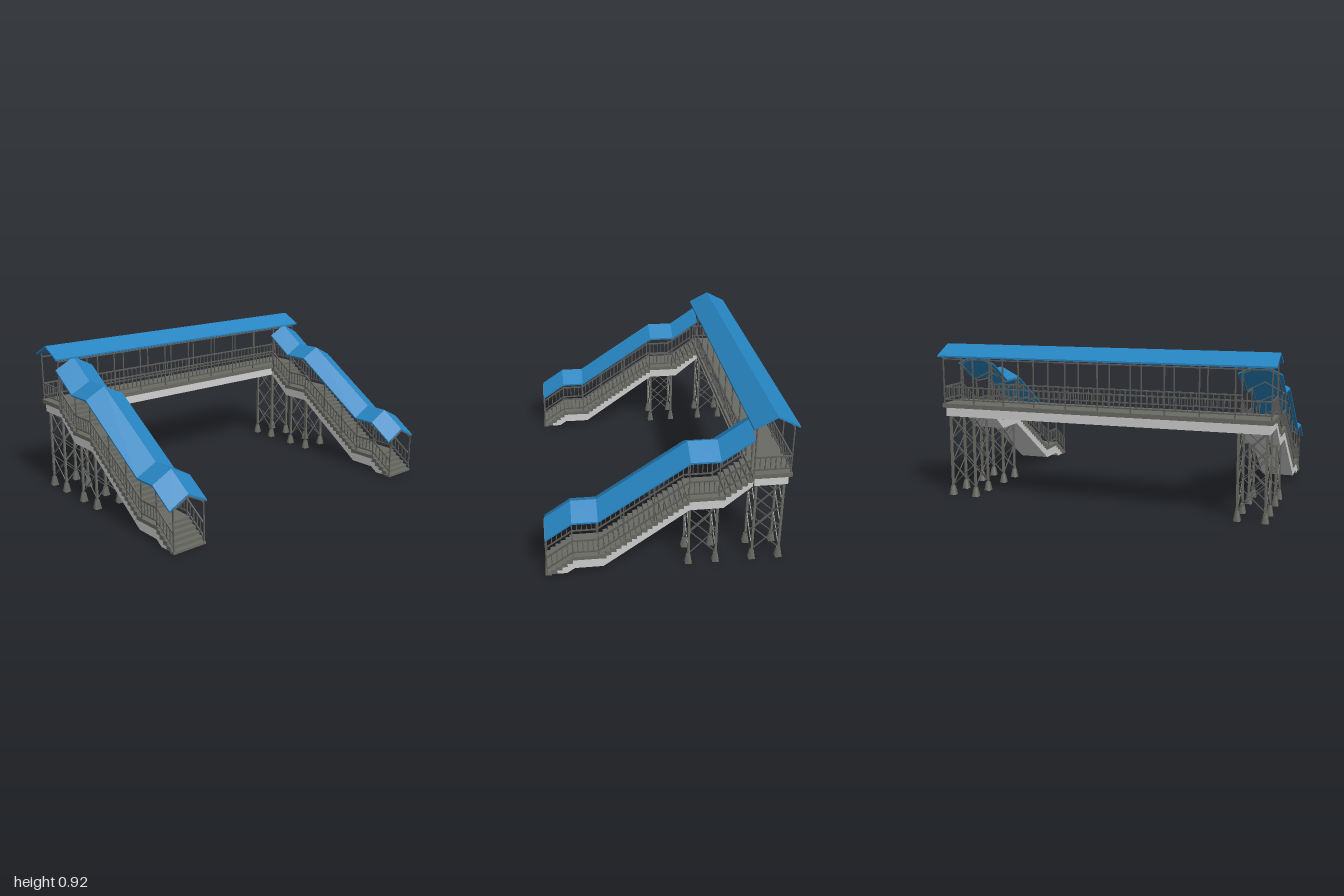
import * as THREE from 'three';
import { mergeGeometries } from 'three/addons/utils/BufferGeometryUtils.js';

const material = (name, color) => {
  const m = new THREE.MeshStandardMaterial({ color });
  m.name = name;
  return m;
};

export function createModel() {
  const blue = material('roof blue', 0x2684c0);
  const dark = material('deck grey', 0x6b6b65);
  const steel = material('railing grey', 0x5e5e5c);
  const light = material('concrete light grey', 0xd0d0d0);
  const model = new THREE.Group();
  model.name = 'footbridge';

  const BX = -0.557, SZ = 0.875;      // bridge centre line, stair centre line
  const HALF = 0.1;                   // railing offset from the centre line

  const add = (parent, name, geometry, mat) => {
    const mesh = new THREE.Mesh(Array.isArray(geometry) ? mergeGeometries(geometry) : geometry, mat);
    mesh.name = name;
    parent.add(mesh);
    return mesh;
  };
  const box = (x0, x1, y0, y1, z0, z1) =>
    new THREE.BoxGeometry(x1 - x0, y1 - y0, z1 - z0).translate((x0 + x1) / 2, (y0 + y1) / 2, (z0 + z1) / 2);

  // square bar between two points
  const bar = (a, b, t) => {
    const p = new THREE.Vector3(...a), q = new THREE.Vector3(...b);
    const o = new THREE.Object3D();
    o.position.copy(p).add(q).multiplyScalar(0.5);
    if (Math.abs(p.x - q.x) + Math.abs(p.z - q.z) < 1e-6) o.rotation.x = Math.PI / 2;
    else o.lookAt(q);
    o.updateMatrix();
    return new THREE.BoxGeometry(t, t, p.distanceTo(q)).applyMatrix4(o.matrix);
  };

  // railing panel between two floor points: two rails and evenly spaced balusters
  const railing = (a, b, spacing) => {
    const up = (p, h) => [p[0], p[1] + h, p[2]];
    const out = [bar(up(a, 0.1), up(b, 0.1), 0.008), bar(up(a, 0.025), up(b, 0.025), 0.007)];
    const n = Math.max(1, Math.round(Math.hypot(b[0] - a[0], b[2] - a[2]) / spacing));
    for (let i = 1; i < n; i++) {
      const p = a.map((v, k) => v + (b[k] - v) * i / n);
      out.push(bar(up(p, 0.025), up(p, 0.1), 0.005));
    }
    return out;
  };

  // gabled roof slab swept along a ridge path of [x, y] points
  const gableRoof = (path) => {
    const h = 0.123, d = 0.063, t = 0.01;
    const ring = [[0, 0], [h, -d], [h, -d - t], [0, -t], [-h, -d - t], [-h, -d]];
    const pos = [];
    const vert = (s, i) => pos.push(path[s][0], path[s][1] + ring[i % 6][1], ring[i % 6][0]);
    const quad = (...c) => [0, 1, 2, 0, 2, 3].forEach(k => vert(...c[k]));
    const last = path.length - 1;
    for (let s = 0; s < last; s++)
      for (let i = 0; i < 6; i++) quad([s, i], [s, i + 1], [s + 1, i + 1], [s + 1, i]);
    quad([last, 0], [last, 1], [last, 2], [last, 3]);
    quad([last, 0], [last, 3], [last, 4], [last, 5]);
    quad([0, 3], [0, 2], [0, 1], [0, 0]);
    quad([0, 5], [0, 4], [0, 3], [0, 0]);
    const g = new THREE.BufferGeometry();
    g.setAttribute('position', new THREE.Float32BufferAttribute(pos, 3));
    g.computeVertexNormals();
    return g;
  };

  // braced four-legged tower with tapered footings
  const tower = (parent, cx, cz, top, panels) => {
    const g = new THREE.Group();
    g.name = 'supportTower';
    const r = 0.077, legs = [], feet = [], braces = [], y0 = 0.06;
    const corners = [[-r, -r], [r, -r], [r, r], [-r, r]];
    corners.forEach(([x, z], i) => {
      legs.push(box(x - 0.0065, x + 0.0065, 0.04, top, z - 0.0065, z + 0.0065));
      feet.push(new THREE.CylinderGeometry(0.0145, 0.027, 0.056, 4).rotateY(Math.PI / 4).translate(x, 0.028, z));
      const [u, w] = corners[(i + 1) % 4];
      for (let k = 0; k < panels; k++) {
        const a = y0 + (top - y0) * k / panels, b = y0 + (top - y0) * (k + 1) / panels;
        braces.push(bar([x, a, z], [u, b, w], 0.005), bar([x, b, z], [u, a, w], 0.005));
      }
    });
    add(g, 'towerLegs', legs, dark);
    add(g, 'towerFootings', feet, dark);
    add(g, 'towerBraces', braces, steel);
    g.position.set(cx, 0, cz);
    parent.add(g);
  };

  // covered walkway
  const bridge = new THREE.Group();
  bridge.name = 'bridgeSpan';
  model.add(bridge);
  add(bridge, 'bridgeDeck', box(-0.666, -0.448, 0.54, 0.565, -0.985, 0.985), dark);
  add(bridge, 'bridgeGirder', box(-0.65, -0.464, 0.487, 0.54, -0.97, 0.97), light);
  const bridgeRoof = add(bridge, 'bridgeRoof', gableRoof([[-1, 0.916], [1, 0.916]]).rotateY(Math.PI / 2), blue);
  bridgeRoof.position.x = BX;
  const frame = [], rails = [], FY = 0.565;
  for (let i = -5; i <= 5; i++) {
    const z = i * 0.195;
    for (const s of [-1, 1]) {
      const x = BX + s * HALF;
      frame.push(bar([x, FY, z], [x, 0.855, z], 0.007), bar([x, 0.853, z], [BX, 0.903, z], 0.007));
      const stairMouth = s > 0 && (i === -5 || i === 4);
      if (i < 5 && !stairMouth) rails.push(...railing([x, FY, z], [x, FY, z + 0.195], 0.0325));
    }
  }
  for (const s of [-1, 1]) {
    frame.push(bar([BX + s * HALF, 0.832, -0.975], [BX + s * HALF, 0.832, 0.975], 0.007));
    rails.push(...railing([BX - HALF, FY, s * 0.975], [BX + HALF, FY, s * 0.975], 0.028));
  }
  frame.push(bar([BX, 0.902, -0.975], [BX, 0.902, 0.975], 0.007));
  add(bridge, 'bridgeFrame', frame, steel);
  add(bridge, 'bridgeRailings', rails, steel);

  // covered staircase, built about its own centre line
  const floor = [[-0.437, 0.552], [-0.272, 0.44], [-0.11, 0.44], [0.383, 0.114], [0.523, 0.114], [0.668, 0.016]];
  const staircase = (cz) => {
    const g = new THREE.Group();
    g.name = 'staircase';
    g.position.z = cz;
    model.add(g);

    // treads and landings
    const W = 0.107, treads = [];
    treads.push(box(-0.28, -0.1, 0.418, 0.44, -W, W), box(0.37, 0.535, 0.09, 0.112, -W, W));
    const flights = [[-0.45, 0.56, -0.275, 0.44, 6], [-0.105, 0.44, 0.375, 0.112, 17], [0.53, 0.112, 0.677, 0.012, 5]];
    for (const [x0, y0, x1, y1, n] of flights) {
      const run = (x1 - x0) / n, rise = (y0 - y1) / n;
      for (let i = 0; i < n; i++) {
        const top = y0 - rise * (i + 1) + 0.003;
        treads.push(box(x0 + run * i - 0.005, x0 + run * (i + 1), Math.max(0.001, top - 0.026), top, -W, W));
      }
    }
    add(g, 'treads', treads, dark);

    // sloping slab beneath
    const slab = new THREE.Shape([
      [-0.455, 0.54], [-0.285, 0.422], [-0.105, 0.422], [0.375, 0.092], [0.53, 0.092], [0.662, 0.004],
      [0.56, 0.003], [0.515, 0.033], [0.358, 0.033], [-0.115, 0.363], [-0.3, 0.363], [-0.455, 0.49],
    ].map(p => new THREE.Vector2(...p)));
    add(g, 'stairSlab',
      new THREE.ExtrudeGeometry(slab, { depth: 0.2, bevelEnabled: false }).translate(0, 0, -0.1), light);

    // posts, beams and rafters
    const posts = [], panels = [];
    const columns = [...floor];
    for (const x of [0.077, 0.243]) {
      const k = (x - floor[2][0]) / (floor[3][0] - floor[2][0]);
      columns.push([x, floor[2][1] + k * (floor[3][1] - floor[2][1])]);
    }
    for (const s of [-HALF, HALF]) {
      for (const [x, y] of columns)
        posts.push(bar([x, y - 0.01, s], [x, y + 0.232, s], 0.007), bar([x, y + 0.229, s], [x, y + 0.28, 0], 0.007));
      for (let i = 0; i < 5; i++) {
        const [a, b] = [floor[i], floor[i + 1]];
        posts.push(bar([a[0], a[1] + 0.215, s], [b[0], b[1] + 0.215, s], 0.007));
        panels.push(...railing([a[0], a[1], s], [b[0], b[1], s], 0.0275));
      }
    }
    add(g, 'stairFrame', posts, steel);
    add(g, 'stairRailings', panels, steel);

    const ridge = floor.map(([x, y]) => [x, y + 0.294]);
    ridge[0] = [-0.445, 0.851];
    add(g, 'stairRoof', gableRoof(ridge), blue);

    tower(g, -0.556, 0, 0.487, 3);
    tower(g, -0.195, 0, 0.364, 2);
  };
  [-SZ, SZ].forEach(staircase);

  return model;
}
